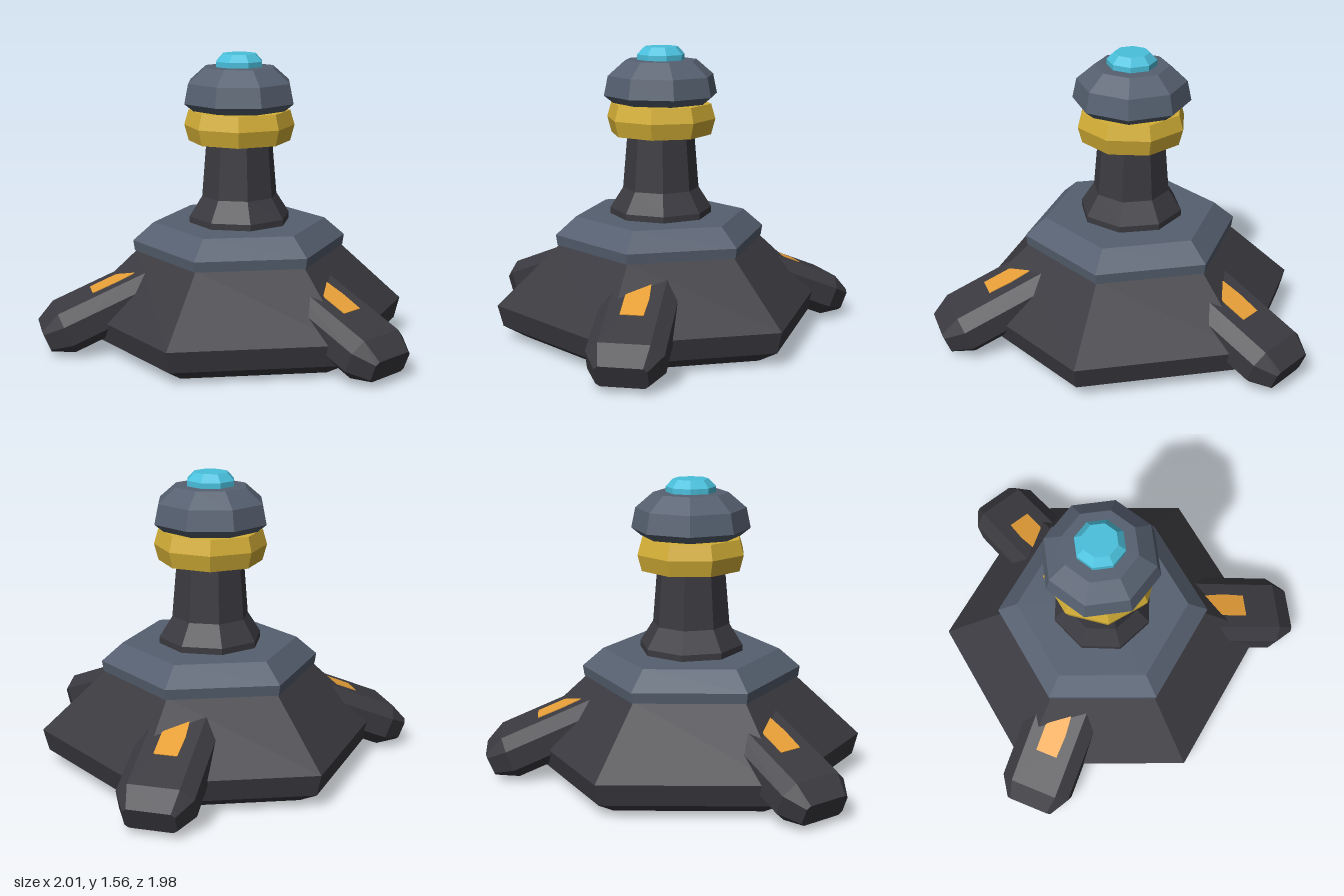
import * as THREE from 'three';
import { ConvexGeometry } from 'three/addons/geometries/ConvexGeometry.js';

const paint = (name, color) => {
  const m = new THREE.MeshStandardMaterial({ color });
  m.name = name;
  return m;
};

// Faceted normals for the low-poly look
function faceted(geometry) {
  const g = geometry.index ? geometry.toNonIndexed() : geometry;
  g.computeVertexNormals();
  return g;
}

function part(name, geometry, material) {
  const mesh = new THREE.Mesh(faceted(geometry), material);
  mesh.name = name;
  return mesh;
}

// Polygonal turned part: profile is [radius, height] from bottom to top
function turned(name, profile, sides, degrees, material) {
  const points = profile.map(([r, y]) => new THREE.Vector2(r, y));
  const start = THREE.MathUtils.degToRad(degrees);
  return part(name, new THREE.LatheGeometry(points, sides, start), material);
}

// Chamfered rectangle cross-section at depth z
function section(w, h, cw, ch, z) {
  const pts = [];
  for (const sx of [-1, 1]) for (const sy of [-1, 1]) {
    pts.push(new THREE.Vector3(sx * w, sy * ch, z), new THREE.Vector3(sx * cw, sy * h, z));
  }
  return pts;
}

export function createModel() {
  const dark = paint('charcoal', 0x3a3a40);
  const steel = paint('slate', 0x566070);
  const gold = paint('gold', 0xd4af37);
  const cyan = paint('cyan', 0x4ac0dc);
  const amber = paint('amber', 0xe8a038);

  const model = new THREE.Group();
  model.name = 'turret';
  const body = new THREE.Group();
  body.name = 'body';
  body.position.z = -0.1;
  model.add(body);

  // Hexagonal base and collar
  body.add(
    turned('base', [[0, 0], [0.745, 0], [0.87, 0.07], [0.9, 0.185], [0.555, 0.51], [0, 0.51]], 6, -7.5, dark),
    turned('collar', [[0, 0.505], [0.57, 0.505], [0.578, 0.56], [0.467, 0.657], [0, 0.657]], 6, -7.5, steel)
  );

  // Octagonal column, ring, dome and lamp
  body.add(
    turned('neck', [[0.275, 0.65], [0.275, 0.69], [0.205, 0.8], [0.18, 1.1], [0.17, 1.32]], 8, 13, dark),
    turned('ring', [[0.17, 1.12], [0.2, 1.085], [0.272, 1.095], [0.295, 1.18], [0.272, 1.26], [0.2, 1.26], [0.17, 1.23]], 8, 0, gold),
    turned('dome', [[0, 1.265], [0.26, 1.265], [0.31, 1.305], [0.288, 1.41], [0.195, 1.49], [0, 1.495]], 8, 22.5, steel),
    turned('lamp', [[0.13, 1.485], [0.13, 1.52], [0.092, 1.56], [0, 1.56]], 8, 22.5, cyan)
  );

  // Sloping feet, each with an amber marker on top
  const footShape = new ConvexGeometry([
    ...section(0.195, 0.115, 0.13, 0.055, -0.6),
    ...section(0.195, 0.115, 0.13, 0.055, 0),
    ...section(0.13, 0.062, 0.11, 0.045, 0.112)
  ]);
  const outline = [[-0.06, 0.21], [0.06, 0.21], [0.066, 0.34], [0.055, 0.48], [0, 0.455], [-0.06, 0.36]];
  const markerShape = new THREE.ExtrudeGeometry(
    new THREE.Shape(outline.map(([x, y]) => new THREE.Vector2(x, y))),
    { depth: 0.008, bevelEnabled: false }
  );
  markerShape.rotateX(-Math.PI / 2);
  markerShape.translate(0, 0.111, 0);

  ['frontFoot', 'leftFoot', 'rightFoot'].forEach((name, i) => {
    const arm = new THREE.Group();
    arm.name = name;
    arm.rotation.y = (i * Math.PI * 2) / 3;
    const tilt = new THREE.Group();
    tilt.name = 'slopedFoot';
    tilt.position.set(0, 0.132, 0.965);
    tilt.rotation.x = THREE.MathUtils.degToRad(22.5);
    tilt.add(part('foot', footShape, dark), part('footMarker', markerShape, amber));
    arm.add(tilt);
    body.add(arm);
  });

  return model;
}
